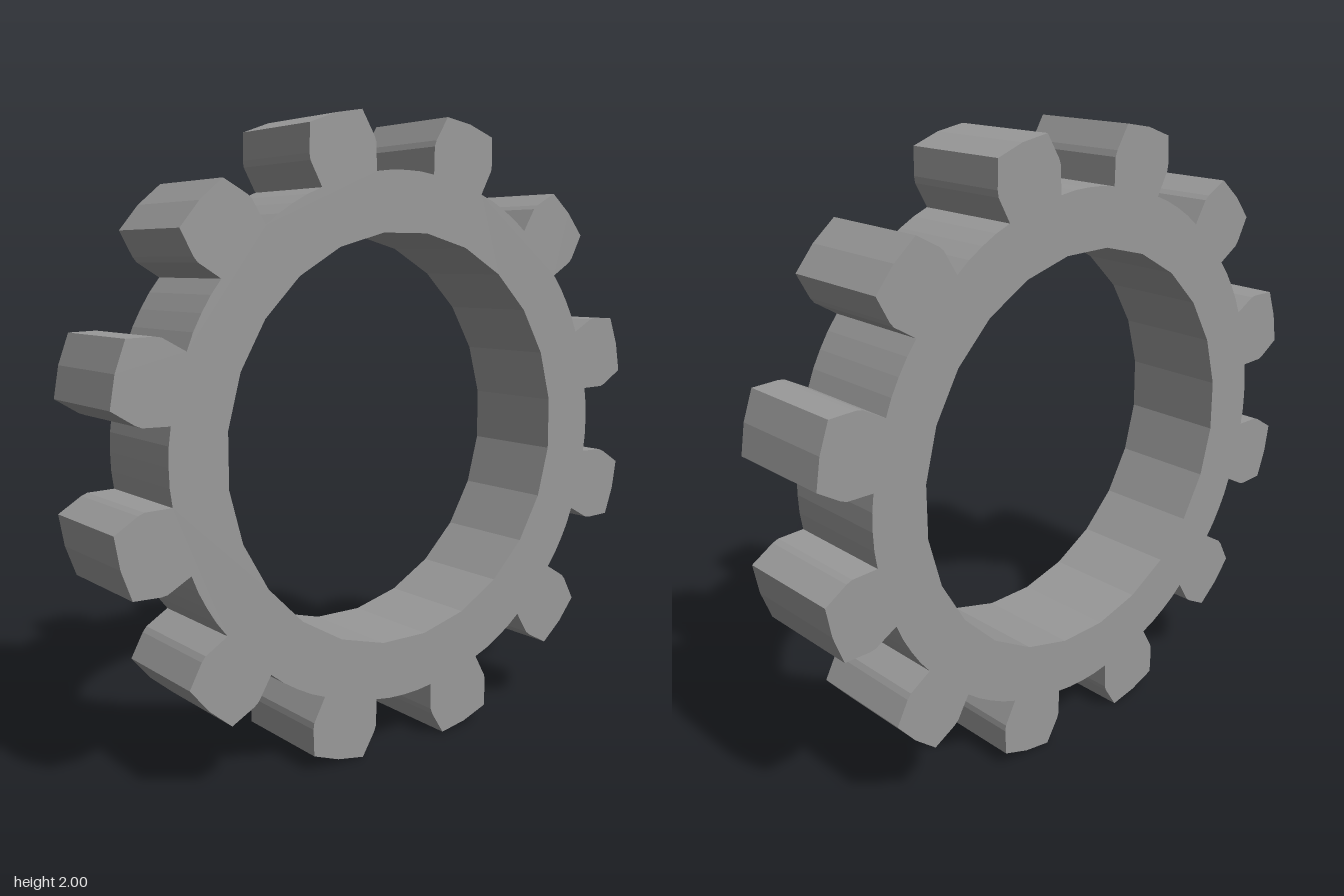
import * as THREE from 'three';

const TEETH = 12;
const THICKNESS = 0.36;
const DEG = Math.PI / 180;

// point on a circle, angle measured counter-clockwise from the top
const polar = (r, deg) => new THREE.Vector2(-r * Math.sin(deg * DEG), r * Math.cos(deg * DEG));

export function createModel() {
  const group = new THREE.Group();
  group.name = 'gear';

  // one tooth and the root gap after it: [radius, degrees from tooth centre]
  const tooth = [
    [0.83, -7.2], [0.915, -7.8], [0.935, -7.5], [1.014, -5.5], [1.018, 0],
    [1.014, 5.5], [0.935, 7.5], [0.915, 7.8], [0.83, 7.2], [0.832, 11], [0.832, 15], [0.832, 19],
  ];
  const outline = [];
  for (let i = 0; i < TEETH; i++) {
    const centre = 15 + i * 360 / TEETH;
    for (const [r, a] of tooth) outline.push(polar(r, centre + a));
  }

  // faceted bore with 24 sides, wound against the outline
  const bore = [];
  for (let i = 0; i < 24; i++) bore.push(polar(0.648, -7.5 - i * 15));

  const shape = new THREE.Shape(outline);
  shape.holes.push(new THREE.Path(bore));

  // extrude and turn the axle along x
  const geometry = new THREE.ExtrudeGeometry(shape, { depth: THICKNESS, bevelEnabled: false });
  geometry.translate(0, 0, -THICKNESS / 2);
  geometry.rotateY(Math.PI / 2);
  geometry.translate(0, 1, 0);

  const ring = new THREE.Mesh(geometry, new THREE.MeshStandardMaterial({ color: 0x999999, flatShading: true }));
  ring.name = 'toothedRing';
  group.add(ring);
  return group;
}
